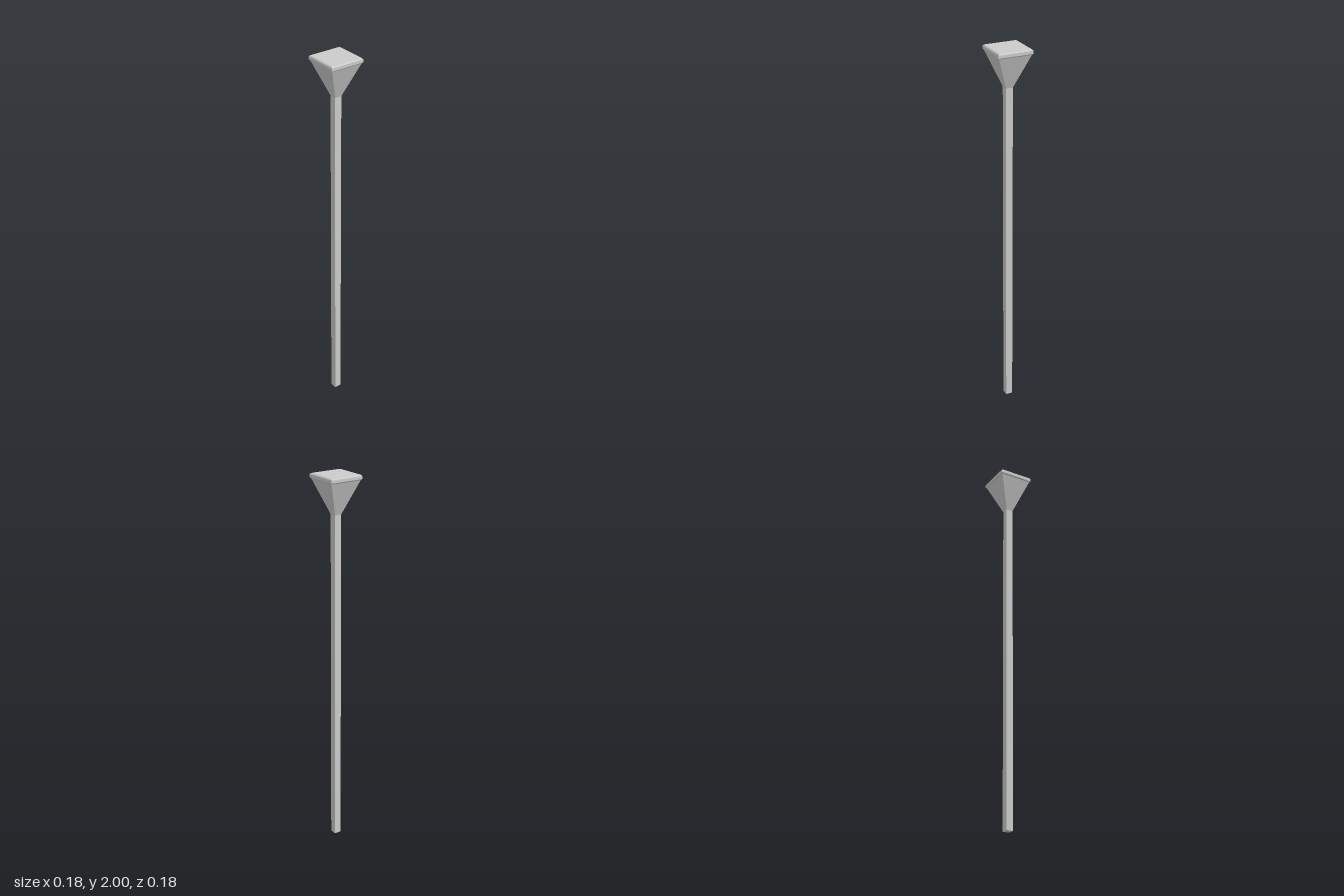
import * as THREE from 'three';

// Square solid from a profile of [half width, height], bottom to top
function squareLathe(name, profile, material) {
  const points = profile.map(([half, y]) => new THREE.Vector2(half * Math.SQRT2, y));
  const mesh = new THREE.Mesh(new THREE.LatheGeometry(points, 4, Math.PI / 4), material);
  mesh.name = name;
  return mesh;
}

export function createModel() {
  const group = new THREE.Group();
  group.name = 'squarePost';
  const material = new THREE.MeshStandardMaterial({ color: 0xcccccc, flatShading: true });

  // Long square shaft
  const shaft = new THREE.Mesh(new THREE.BoxGeometry(0.037, 1.8, 0.037), material);
  shaft.name = 'shaft';
  shaft.position.y = 0.9;
  group.add(shaft);

  // Flared head with a bevelled rim and flat top
  group.add(squareLathe('flaredHead', [
    [0, 1.8], [0.0185, 1.8], [0.086, 1.973], [0.092, 1.979],
    [0.092, 1.994], [0.087, 2], [0, 2],
  ], material));

  return group;
}
